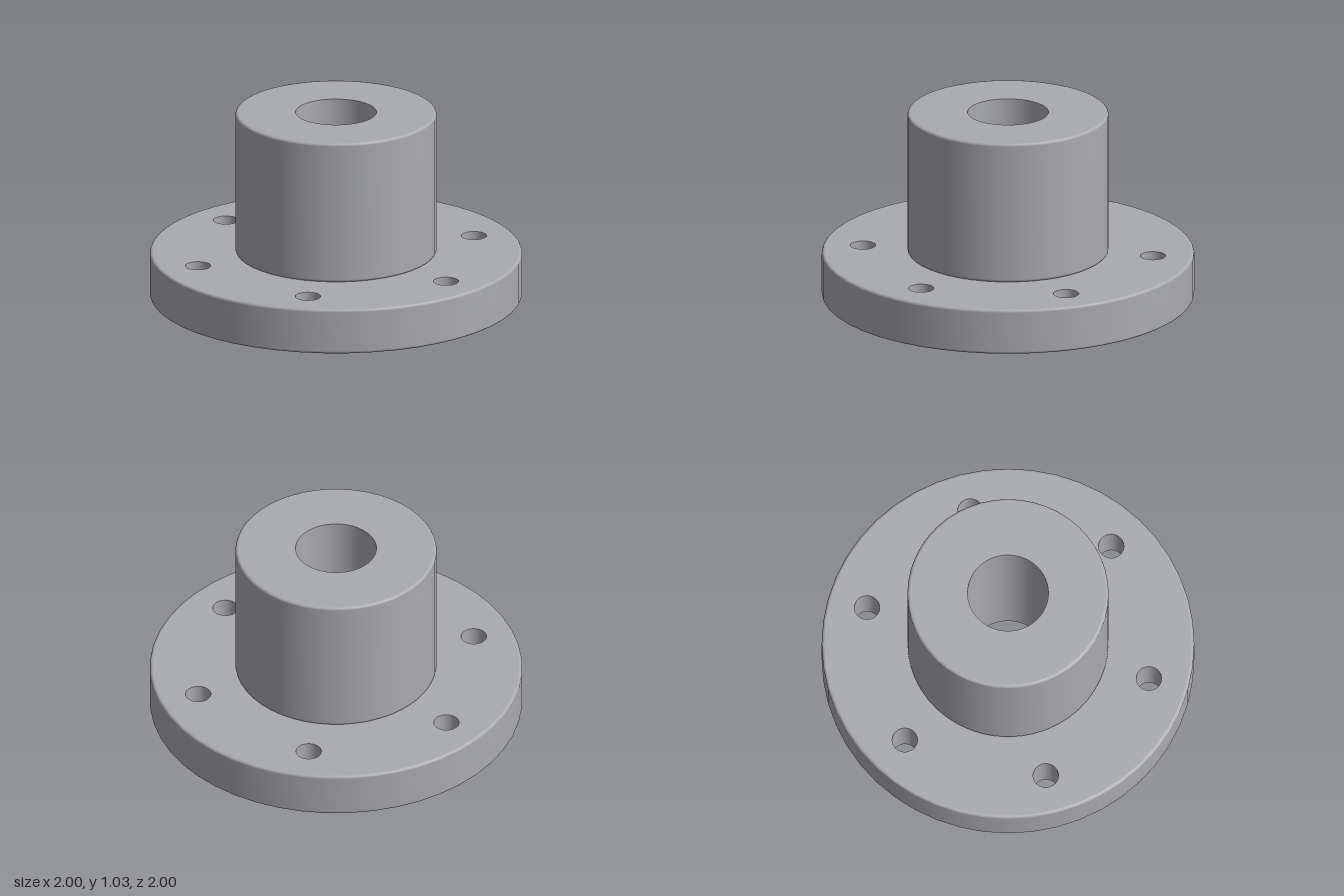
import * as THREE from 'three';

const SEG = 48;
const R = 1, FLANGE_H = 0.25;        // flange disc
const HUB_R = 0.54, TOP = 1.035;     // raised hub
const BORE_R = 0.217;                // central bore
const BOLT_R = 0.068, BOLT_PCD = 0.783;
const B = 0.015;                     // edge rounding

const boltCentres = Array.from({ length: 6 }, (_, i) => {
  const a = (i * Math.PI) / 3;
  return [BOLT_PCD * Math.cos(a), BOLT_PCD * Math.sin(a)];
});

// Outer wall with rounded top and bottom edges
function roundedWall(r, y0, y1) {
  const pts = [];
  for (const [cy, start] of [[y0 + B, -Math.PI / 2], [y1 - B, 0]]) {
    for (let i = 0; i <= 4; i++) {
      const a = start + (i / 4) * (Math.PI / 2);
      pts.push(new THREE.Vector2(r - B + B * Math.cos(a), cy + B * Math.sin(a)));
    }
  }
  return new THREE.LatheGeometry(pts, SEG);
}

// Inward-facing wall of a hole
function holeWall(r, y0, y1, x = 0, z = 0) {
  const pts = [new THREE.Vector2(r, y1), new THREE.Vector2(r, y0)];
  return new THREE.LatheGeometry(pts, SEG).translate(x, 0, z);
}

// Flat annular face, optionally drilled with the bolt holes
function face(outer, inner, y, up, drilled) {
  const shape = new THREE.Shape().absarc(0, 0, outer, 0, Math.PI * 2);
  const cut = (x, z, r) =>
    shape.holes.push(new THREE.Path().absarc(x, z, r, 0, Math.PI * 2, true));
  cut(0, 0, inner);
  if (drilled) boltCentres.forEach(([x, z]) => cut(x, z, BOLT_R));
  return new THREE.ShapeGeometry(shape, SEG / 2)
    .rotateX(up ? -Math.PI / 2 : Math.PI / 2)
    .translate(0, y, 0);
}

export function createModel() {
  const model = new THREE.Group();
  model.name = 'flangedHub';
  const steel = new THREE.MeshStandardMaterial({ color: 0xaaabaf });
  steel.name = 'steel grey';

  const flange = new THREE.Group();
  flange.name = 'flange';
  const hub = new THREE.Group();
  hub.name = 'hub';
  model.add(flange, hub);

  const add = (parent, name, geometry) => {
    const mesh = new THREE.Mesh(geometry, steel);
    mesh.name = name;
    parent.add(mesh);
  };

  // Flange disc with six bolt holes
  add(flange, 'flangeRim', roundedWall(R, 0, FLANGE_H));
  add(flange, 'flangeTop', face(R - B, HUB_R - B, FLANGE_H, true, true));
  add(flange, 'flangeBottom', face(R - B, BORE_R, 0, false, true));
  boltCentres.forEach(([x, z], i) =>
    add(flange, `boltHole${i + 1}`, holeWall(BOLT_R, 0, FLANGE_H, x, z)));

  // Hub and the bore through the whole part
  add(hub, 'hubWall', roundedWall(HUB_R, FLANGE_H, TOP));
  add(hub, 'hubTop', face(HUB_R - B, BORE_R, TOP, true, false));
  add(hub, 'bore', holeWall(BORE_R, 0, TOP));

  return model;
}
